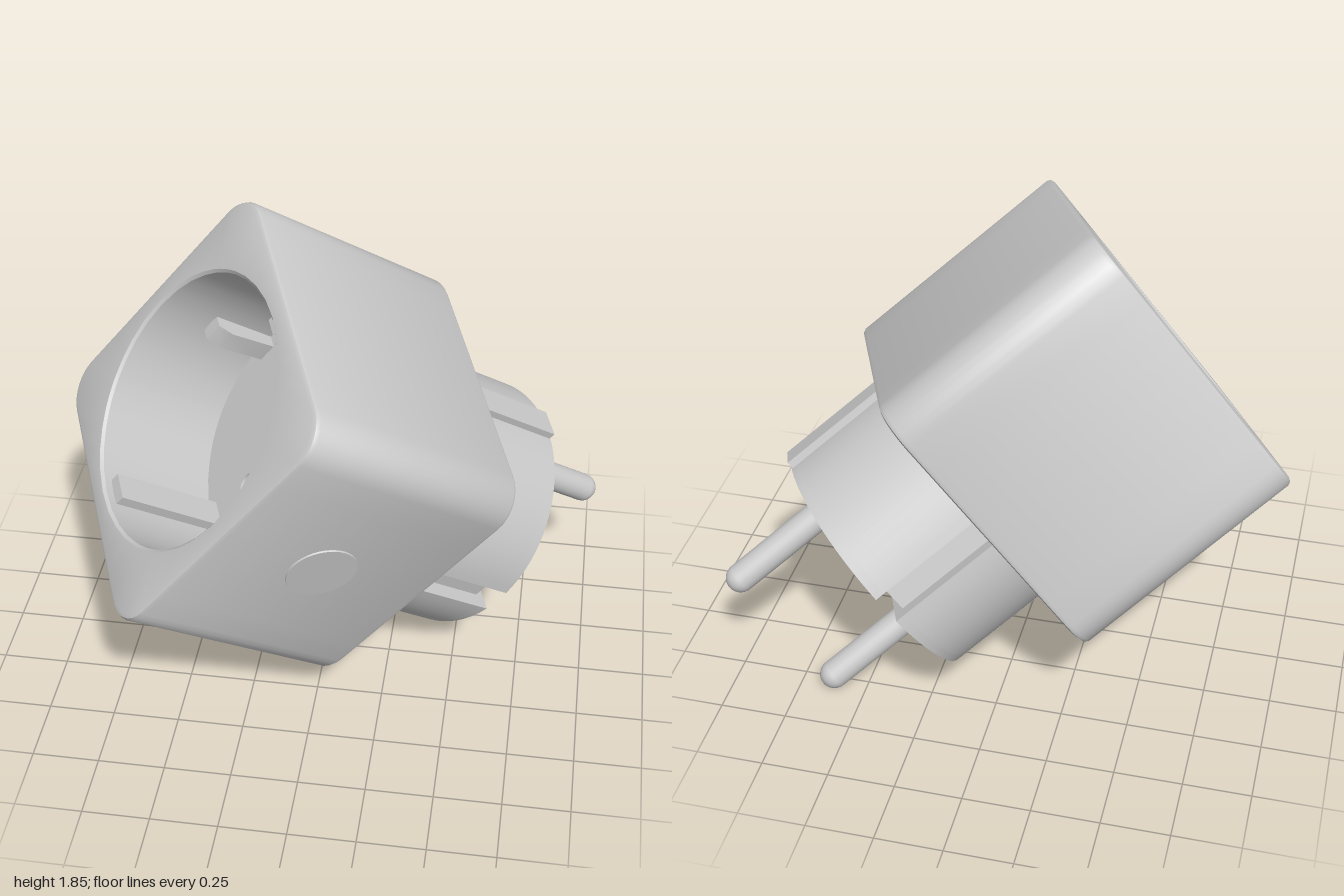
import * as THREE from 'three';
import { toCreasedNormals } from 'three/addons/utils/BufferGeometryUtils.js';

const HALF = 0.58, CORNER = 0.14, DEPTH = 0.465;   // housing half width, corner radius, half depth
const SOCKET_R = 0.5, FLOOR = -0.03;               // socket well
const PLUG_R = 0.488, SLOT = 0.055, PIN_Y = 0.267; // plug, half slot width, pin offset
const mat = new THREE.MeshStandardMaterial({ color: 0xcccccc });
const inside = new THREE.MeshStandardMaterial({ color: 0xcccccc, side: THREE.BackSide });

function add(parent, name, geometry, x = 0, y = 0, z = 0, material = mat) {
  const mesh = new THREE.Mesh(geometry, material);
  mesh.name = name;
  mesh.position.set(x, y, z);
  parent.add(mesh);
  return mesh;
}

// Outline of a rounded square, counter-clockwise, with subdivided sides
function squareRing(half, z) {
  const r = CORNER - (HALF - half) * 0.6, c = half - r, points = [];
  for (let q = 0; q < 4; q++) {
    const turn = q * Math.PI / 2;
    const put = (x, y) => points.push(new THREE.Vector3(
      x * Math.cos(turn) - y * Math.sin(turn), x * Math.sin(turn) + y * Math.cos(turn), z));
    for (let i = 0; i < 8; i++) put(half, -c + 2 * c * i / 8);
    for (let i = 0; i < 8; i++) {
      const a = i / 8 * Math.PI / 2;
      put(c + r * Math.cos(a), c + r * Math.sin(a));
    }
  }
  return points;
}

// Circle whose points line up with the rounded square
function circleRing(radius, z) {
  return squareRing(HALF, z).map(p => {
    const a = Math.atan2(p.y, p.x);
    return new THREE.Vector3(radius * Math.cos(a), radius * Math.sin(a), z);
  });
}

function loft(rings) {
  const n = rings[0].length, index = [];
  for (let i = 0; i < rings.length - 1; i++) {
    for (let j = 0; j < n; j++) {
      const k = (j + 1) % n, a = i * n + j, b = i * n + k;
      index.push(a, b, b + n, a, b + n, a + n);
    }
  }
  const geometry = new THREE.BufferGeometry().setFromPoints(rings.flat());
  geometry.setIndex(index);
  return toCreasedNormals(geometry, 0.6);
}

function extrude(shape, depth) {
  return toCreasedNormals(new THREE.ExtrudeGeometry(shape, { depth, bevelEnabled: false, curveSegments: 18 }), 0.5);
}

function buildHousing(g) {
  // Back panel, seam, rim, sides, front face and socket wall in one skin
  add(g, 'housing', loft([
    circleRing(0.4, -DEPTH),
    squareRing(HALF - 0.047, -DEPTH),
    squareRing(HALF - 0.047, -DEPTH + 0.02),
    squareRing(HALF - 0.035, -DEPTH + 0.02),
    squareRing(HALF - 0.035, -DEPTH),
    squareRing(HALF - 0.02, -DEPTH),
    squareRing(HALF - 0.006, -DEPTH + 0.006),
    squareRing(HALF, -DEPTH + 0.02),
    squareRing(HALF, DEPTH - 0.02),
    squareRing(HALF - 0.006, DEPTH - 0.006),
    squareRing(HALF - 0.02, DEPTH),
    circleRing(SOCKET_R + 0.01, DEPTH),
    circleRing(SOCKET_R, DEPTH - 0.01),
    circleRing(SOCKET_R, FLOOR),
  ]));

  // Round button on the side
  const button = add(g, 'button', new THREE.CylinderGeometry(0.127, 0.132, 0.02, 40), HALF - 0.004);
  button.rotation.z = -Math.PI / 2;
}

function buildSocket(g) {
  const floor = new THREE.Shape().absarc(0, 0, SOCKET_R + 0.005, 0, Math.PI * 2);
  for (const s of [-1, 1]) {
    floor.holes.push(new THREE.Path().absarc(0, s * PIN_Y, 0.048, 0, Math.PI * 2, true));

    // Pin hole
    const bore = add(g, 'pinHole', new THREE.CylinderGeometry(0.048, 0.048, 0.2, 24), 0, s * PIN_Y, FLOOR - 0.1, inside);
    bore.geometry = new THREE.CylinderGeometry(0.048, 0.048, 0.2, 24, 1, true);
    bore.rotation.x = Math.PI / 2;
    add(g, 'pinHoleEnd', new THREE.CircleGeometry(0.048, 24), 0, s * PIN_Y, FLOOR - 0.2);

    // Guide ridge on the wall
    const ridgeLength = DEPTH - 0.04 - FLOOR;
    add(g, 'guideRidge', new THREE.BoxGeometry(0.11, 0.05, ridgeLength),
      0, s * (SOCKET_R - 0.02), FLOOR + ridgeLength / 2);

    // Earth clip with a bent tip
    const clip = new THREE.Shape();
    clip.moveTo(0.02, 0).lineTo(-0.035, 0).lineTo(-0.05, 0.2).lineTo(-0.03, 0.26).lineTo(0.02, 0.26);
    const strip = add(g, 'earthClip', extrude(clip, 0.08), s * (SOCKET_R - 0.02), s * 0.04, FLOOR);
    strip.rotation.set(Math.PI / 2, 0, 0);
    if (s < 0) strip.rotation.set(Math.PI / 2, Math.PI, 0, 'ZXY');
    strip.geometry.computeBoundingBox();
    if (s < 0) {
      // Opposite clip: half turn about the socket axis
      strip.rotation.set(Math.PI / 2, 0, Math.PI, 'ZYX');
    }
  }
  add(g, 'socketFloor', new THREE.ShapeGeometry(floor, 48), 0, 0, FLOOR);
}

function buildPlug(g) {
  const a = Math.asin(SLOT / PLUG_R), inner = PLUG_R - 0.06;

  // Round core with a slot on each side
  const core = new THREE.Shape();
  core.absarc(0, 0, PLUG_R, a, Math.PI - a);
  core.lineTo(-inner, SLOT).lineTo(-inner, -SLOT);
  core.absarc(0, 0, PLUG_R, Math.PI + a, Math.PI * 2 - a);
  core.lineTo(inner, -SLOT).lineTo(inner, SLOT);
  add(g, 'plugBody', extrude(core, 0.42), 0, 0, -0.875);

  for (const s of [1, -1]) {
    // Half-round end faces leave a groove between them
    const half = new THREE.Shape();
    const start = s > 0 ? 0 : Math.PI;
    half.absarc(0, 0, PLUG_R, start + a, start + Math.PI - a);
    add(g, 'plugFace', extrude(half, 0.035), 0, 0, -0.91);

    // Narrow rib along the plug
    add(g, 'plugRib', new THREE.BoxGeometry(0.11, 0.06, 0.445), 0, s * (PLUG_R - 0.006), -0.6825);

    // Round-ended pin
    const pin = add(g, 'pin', new THREE.CapsuleGeometry(0.055, 0.49, 8, 24), 0, s * PIN_Y, -1.097);
    pin.rotation.x = Math.PI / 2;
  }
}

export function createModel() {
  const model = new THREE.Group();
  model.name = 'plugAdapter';
  const adapter = new THREE.Group();
  adapter.name = 'adapter';
  buildHousing(adapter);
  buildSocket(adapter);
  buildPlug(adapter);

  // Tilted pose: local z points out of the socket
  const z = new THREE.Vector3(-0.693, 0.568, 0.443).normalize();
  const x = new THREE.Vector3(0.626, 0.779, -0.02).cross(z).normalize();
  const y = z.clone().cross(x);
  adapter.quaternion.setFromRotationMatrix(new THREE.Matrix4().makeBasis(x, y, z));
  adapter.position.set(-0.1425, 1.0375, 0.0475);
  model.add(adapter);
  return model;
}
